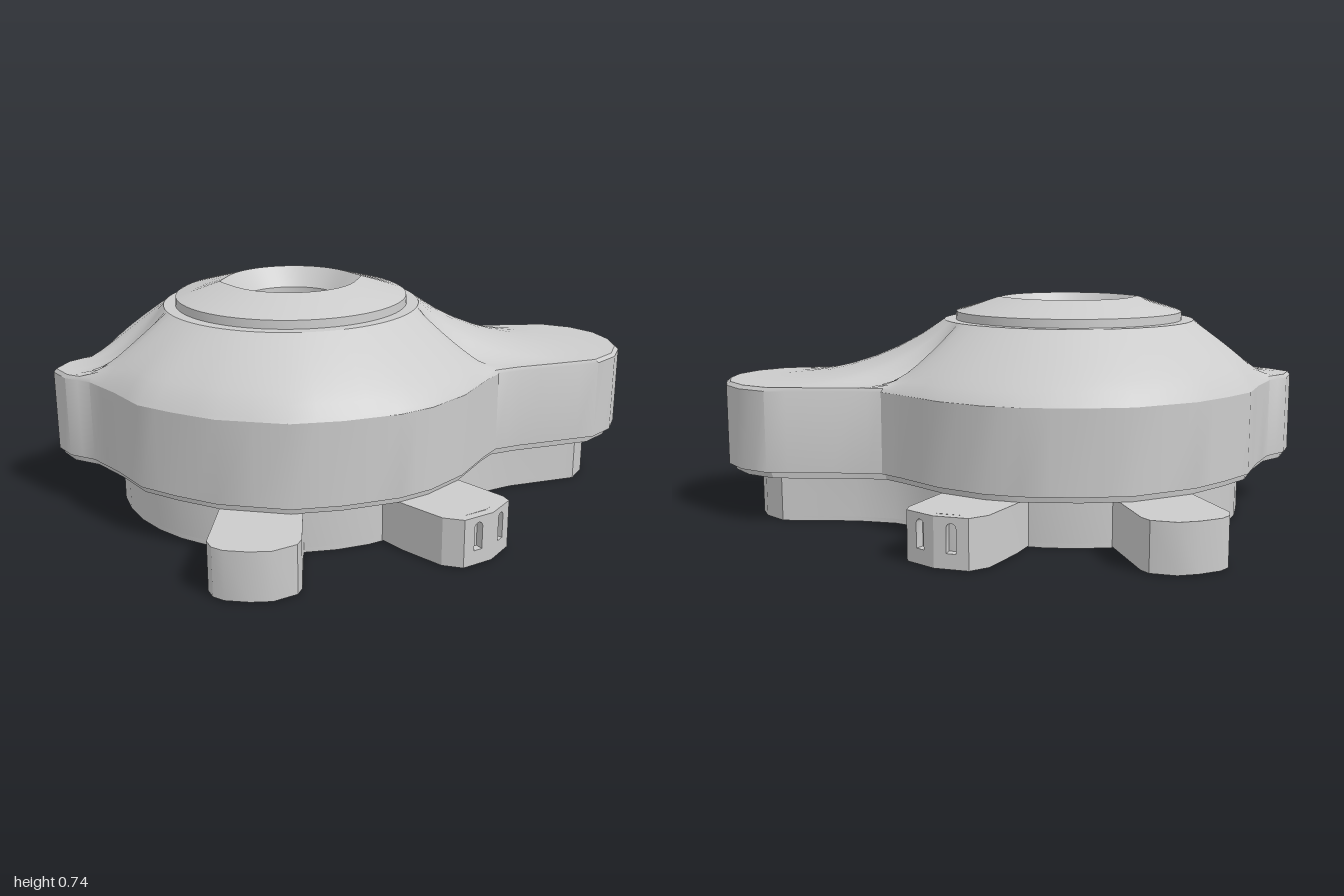
import * as THREE from 'three';
import { toCreasedNormals } from 'three/addons/utils/BufferGeometryUtils.js';

const CX = -0.19; // axis of the dome
const V = (x, z) => new THREE.Vector2(x, z);
const material = new THREE.MeshStandardMaterial({ color: 0xcccccc, side: THREE.DoubleSide });

function add(parent, name, geometry, crease = 0.5) {
  const mesh = new THREE.Mesh(toCreasedNormals(geometry, crease), material);
  mesh.name = name;
  parent.add(mesh);
  return mesh;
}

// Extrudes a plan of [x, z] points upward from y0 to y1
function slab(points, y0, y1, holeRadius = 0) {
  const shape = new THREE.Shape(points.map(([x, z]) => V(x, -z)));
  if (holeRadius) shape.holes.push(new THREE.Path().absarc(CX, 0, holeRadius, 0, Math.PI * 2, true));
  const g = new THREE.ExtrudeGeometry(shape, { depth: y1 - y0, bevelEnabled: false, curveSegments: 24 });
  return g.rotateX(-Math.PI / 2).translate(0, y0, 0);
}

// Upright panel from p to q with one round-headed opening
function archPanel(p, q, y0, y1, width, sill, top, thick) {
  const dx = q[0] - p[0], dz = q[1] - p[1], len = Math.hypot(dx, dz);
  const r = width / 2, m = len / 2;
  const shape = new THREE.Shape([V(0, y0), V(len, y0), V(len, y1), V(0, y1)]);
  const hole = new THREE.Path();
  hole.moveTo(m - r, sill);
  hole.lineTo(m + r, sill);
  hole.lineTo(m + r, top - r);
  hole.absarc(m, top - r, r, 0, Math.PI, false);
  hole.closePath();
  shape.holes.push(hole);
  const g = new THREE.ExtrudeGeometry(shape, { depth: thick, bevelEnabled: false, curveSegments: 5 });
  return g.translate(0, 0, -thick).rotateY(Math.atan2(-dz, dx)).translate(p[0], 0, p[1]);
}

// Full loop from a half outline running head to tail along +z
function mirrorLoop(half) {
  const back = half.slice().reverse().filter(([, z]) => z > 0).map(([x, z]) => [x, -z]);
  return half.concat(back);
}

function shellGeometry(loop) {
  const rows = [];
  const scaled = (s, y) => loop.map(([x, z]) => [CX + (x - CX) * s, y, z * s]);
  rows.push(scaled(0.98, 0.16), scaled(0.985, 0.18), scaled(1, 0.18), scaled(1, 0.45));
  // Roof: bulges over the flanks, sweeps in a hollow curve over head and tail
  const steps = 9;
  for (let i = 0; i <= steps; i++) {
    const t = 1 - i / steps;
    rows.push(loop.map(([x, z]) => {
      const R = Math.hypot(x - CX, z), a = Math.atan2(z, x - CX);
      const k = THREE.MathUtils.smoothstep(R, 0.67, 0.82);
      const r = 0.435 + (R * 0.988 - 0.435) * t;
      const y = 0.462 + 0.198 * Math.pow(1 - t, 0.8 + 1.9 * k);
      return [CX + r * Math.cos(a), y, r * Math.sin(a)];
    }));
  }
  const n = loop.length, index = [];
  for (let j = 0; j < rows.length - 1; j++) {
    for (let i = 0; i < n; i++) {
      const a = j * n + i, b = j * n + (i + 1) % n;
      index.push(a, a + n, b, b, a + n, b + n);
    }
  }
  const g = new THREE.BufferGeometry();
  g.setAttribute('position', new THREE.Float32BufferAttribute(rows.flat(2), 3));
  g.setIndex(index);
  return g;
}

export function createModel() {
  const model = new THREE.Group();
  model.name = 'turtleHouse';

  // Shell with head and pointed tail
  const half = [[1, 0], [0.985, 0.1], [0.93, 0.19], [0.84, 0.255], [0.7, 0.273], [0.55, 0.29], [0.46, 0.31],
    [0.4, 0.37], [0.28, 0.51], [0.15, 0.605], [0.04, 0.65], [-0.14, 0.675], [-0.3, 0.672], [-0.51, 0.59],
    [-0.63, 0.5], [-0.73, 0.41], [-0.8, 0.27], [-0.88, 0.14], [-0.96, 0.08], [-1, 0]];
  const fine = half.flatMap((p, i) => {
    const q = half[i + 1];
    return q ? [p, [(p[0] + q[0]) / 2, (p[1] + q[1]) / 2]] : [p];
  });
  const loop = mirrorLoop(fine);
  add(model, 'shell', shellGeometry(loop));

  // Underside of the shell, open over the inner chamber
  const under = new THREE.Shape(loop.map(([x, z]) => V(CX + (x - CX) * 0.98, z * 0.98)));
  under.holes.push(new THREE.Path().absarc(CX, 0, 0.4, 0, Math.PI * 2, true));
  add(model, 'shellUnderside', new THREE.ShapeGeometry(under, 24).rotateX(Math.PI / 2).translate(0, 0.16, 0));

  // Collar, funnel mouth and chamber wall in one turned profile
  const profile = [[0.436, 0.66], [0.396, 0.66], [0.394, 0.688], [0.385, 0.692], [0.222, 0.737],
    [0.17, 0.67], [0.17, 0.64], [0.38, 0.6], [0.4, 0.58], [0.4, 0.16]];
  const collar = new THREE.LatheGeometry(profile.map(([r, y]) => V(r, y)), 64);
  const pos = collar.attributes.position;
  for (let i = 0; i < pos.count; i++) { // pull the rim into a point at each end
    const z = Math.abs(pos.getZ(i));
    if (pos.getY(i) > 0.73 && z < 0.09) {
      pos.setX(i, Math.sign(pos.getX(i)) * Math.max(Math.abs(pos.getX(i)), 0.245 - z * 0.45));
    }
  }
  add(model, 'collarAndChamber', collar.translate(CX, 0, 0), 0.4);

  // Arcade round the chamber
  const arcade = new THREE.Group();
  arcade.name = 'arcade';
  model.add(arcade);
  const count = 20;
  const onRing = (i) => {
    const a = (i / count) * Math.PI * 2;
    return [CX + 0.385 * Math.cos(a), -0.385 * Math.sin(a)];
  };
  for (let i = 0; i < count; i++) {
    add(arcade, 'arch', archPanel(onRing(i + 1), onRing(i), 0.16, 0.5, 0.096, 0.18, 0.46, 0.02));
  }
  for (const y of [0.5, 0.55]) {
    add(arcade, 'cornice', new THREE.TorusGeometry(0.385, 0.012, 6, 48).rotateX(Math.PI / 2).translate(CX, y, 0));
  }

  // Base: floor plate, two curved walls and a doorway at each end
  const gap = 0.055;
  const baseHalf = [[0.88, gap], [0.86, 0.12], [0.8, 0.19], [0.55, 0.22], [0.42, 0.26], [0.33, 0.32]];
  for (let i = 0; i <= 13; i++) {
    const a = THREE.MathUtils.degToRad(46 + (i * 128.8) / 13);
    baseHalf.push([CX + 0.6 * Math.cos(a), 0.6 * Math.sin(a)]);
  }
  const base = new THREE.Group();
  base.name = 'base';
  model.add(base);
  add(base, 'floor', slab(mirrorLoop(baseHalf), 0, 0.015, 0.19));
  add(base, 'floorDisc', new THREE.CylinderGeometry(0.19, 0.19, 0.011, 48).translate(CX, 0.0095, 0));
  const inner = baseHalf.map(([x, z], i) =>
    [CX + (x - CX) * 0.95, i === 0 || i === baseHalf.length - 1 ? z : z * 0.94]).reverse();
  for (const side of [1, -1]) {
    const wall = baseHalf.concat(inner).map(([x, z]) => [x, z * side]);
    add(base, 'wall', slab(wall, 0.015, 0.16));
  }
  add(base, 'headDoorway', archPanel([0.878, gap], [0.878, -gap], 0.01, 0.16, 0.07, 0.018, 0.135, 0.04));
  add(base, 'tailDoorway', archPanel([-0.786, -gap], [-0.786, gap], 0.01, 0.16, 0.07, 0.018, 0.135, 0.03));

  // Feet; the front pair end in two windowed panels each
  const frontFoot = [[-0.02, 0.52], [0.05, 0.645], [0.14, 0.77], [0.19, 0.775], [0.288, 0.735],
    [0.35, 0.675], [0.37, 0.65], [0.28, 0.51], [0.17, 0.36]];
  const rearFoot = [[-0.47, 0.44], [-0.56, 0.79], [-0.55, 0.83], [-0.52, 0.858], [-0.45, 0.882],
    [-0.385, 0.89], [-0.31, 0.862], [-0.292, 0.83], [-0.225, 0.45]];
  const tips = [[0.14, 0.77], [0.2, 0.8], [0.3, 0.762], [0.377, 0.685], [0.37, 0.65]];
  for (const side of [1, -1]) {
    const flip = (pts) => pts.map(([x, z]) => [x, z * side]);
    add(model, 'frontFoot', slab(flip(frontFoot), 0.003, 0.159));
    add(model, 'rearFoot', slab(flip(rearFoot), 0.003, 0.159));
    const t = flip(tips);
    for (const i of [1, 2]) {
      const [p, q] = side > 0 ? [t[i], t[i + 1]] : [t[i + 1], t[i]];
      add(model, 'footWindow', archPanel(p, q, 0.003, 0.159, 0.03, 0.05, 0.14, 0.027));
    }
    // Solid cheeks closing the tip beside the windows
    add(model, 'footCheek', slab([t[0], t[1], flip([[0.21, 0.765]])[0]], 0.003, 0.159));
    add(model, 'footCheek', slab([t[3], t[4], flip([[0.345, 0.675]])[0]], 0.003, 0.159));
  }
  return model;
}
